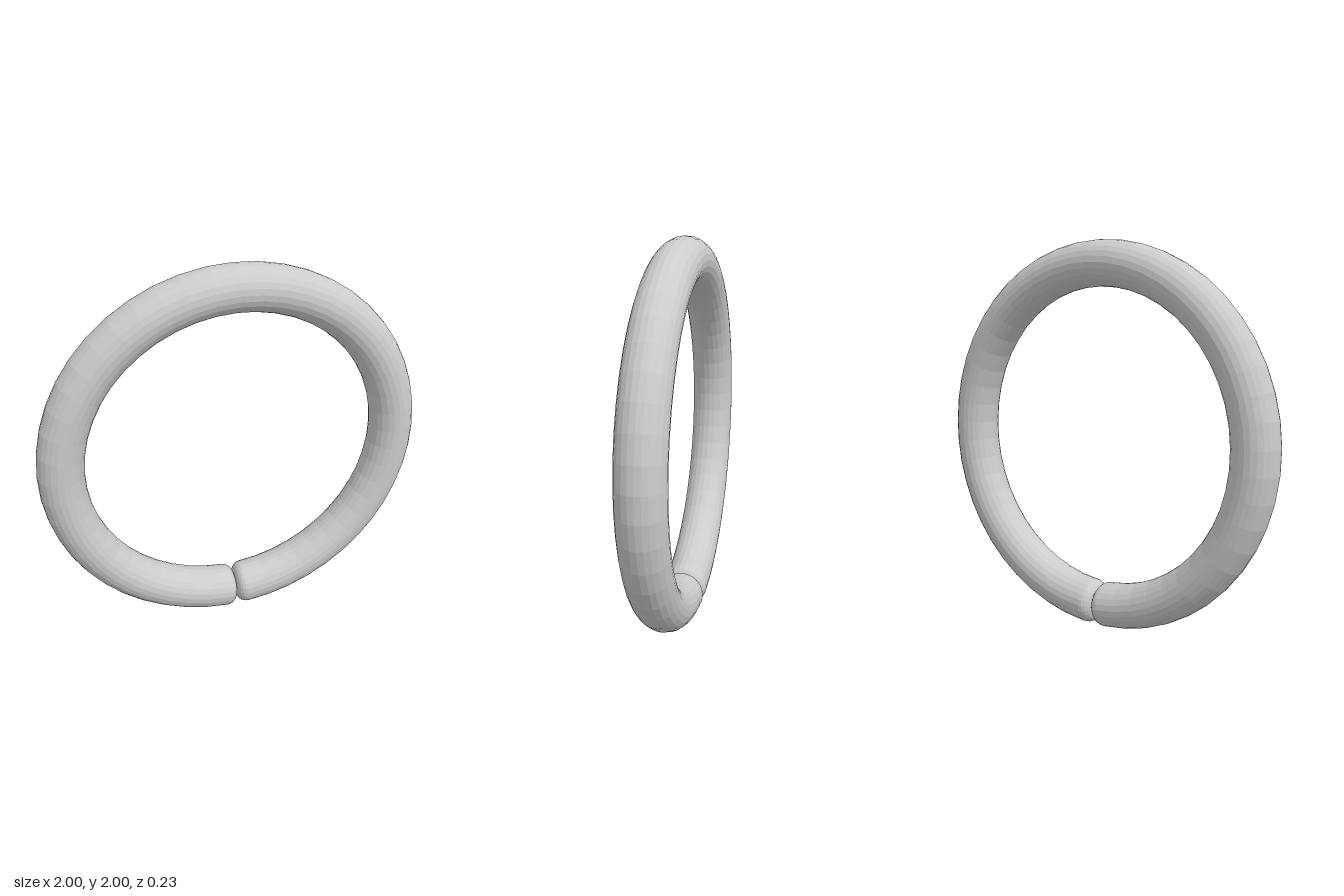
import * as THREE from 'three';
import { mergeVertices } from 'three/addons/utils/BufferGeometryUtils.js';

const RING = 0.884;   // radius of the ring's centre line
const TUBE = 0.116;   // thickness radius
const EDGE = 0.055;   // rounding of the two ends
const GAP = 0.003;    // half the slit at the bottom
const SIDES = 24, SEGMENTS = 48, STEPS = 5;

// Stations along the ring: angle from the bottom and tube radius there
function stations() {
  const start = [{ angle: GAP / RING, radius: 0 }];
  for (let i = 0; i <= STEPS; i++) {
    const p = (i / STEPS) * Math.PI / 2;
    start.push({
      angle: (GAP + EDGE * (1 - Math.cos(p))) / RING,
      radius: TUBE - EDGE + EDGE * Math.sin(p),
    });
  }
  const a0 = start[start.length - 1].angle;
  const body = [];
  for (let i = 1; i < SEGMENTS; i++) {
    body.push({ angle: a0 + (i / SEGMENTS) * 2 * (Math.PI - a0), radius: TUBE });
  }
  const end = start.map(s => ({ angle: 2 * Math.PI - s.angle, radius: s.radius })).reverse();
  return [...start, ...body, ...end];
}

// Circular cross-sections joined into a closed split ring
function ringGeometry() {
  const list = stations();
  const positions = [], indices = [];
  for (const { angle, radius } of list) {
    for (let j = 0; j < SIDES; j++) {
      const t = (j / SIDES) * Math.PI * 2;
      const r = RING + radius * Math.cos(t);
      positions.push(Math.sin(angle) * r, 1 - Math.cos(angle) * r, radius * Math.sin(t));
    }
  }
  for (let i = 0; i < list.length - 1; i++) {
    for (let j = 0; j < SIDES; j++) {
      const a = i * SIDES + j, b = i * SIDES + (j + 1) % SIDES;
      const c = a + SIDES, d = b + SIDES;
      if (list[i + 1].radius > 0) indices.push(a, c, d);
      if (list[i].radius > 0) indices.push(a, d, b);
    }
  }
  let geometry = new THREE.BufferGeometry();
  geometry.setAttribute('position', new THREE.Float32BufferAttribute(positions, 3));
  geometry.setIndex(indices);
  geometry = mergeVertices(geometry);
  geometry.computeVertexNormals();
  return geometry;
}

export function createModel() {
  const group = new THREE.Group();
  const material = new THREE.MeshStandardMaterial({ color: 0xcccccc, flatShading: true });
  const ring = new THREE.Mesh(ringGeometry(), material);
  ring.name = 'splitRing';
  group.add(ring);
  return group;
}
